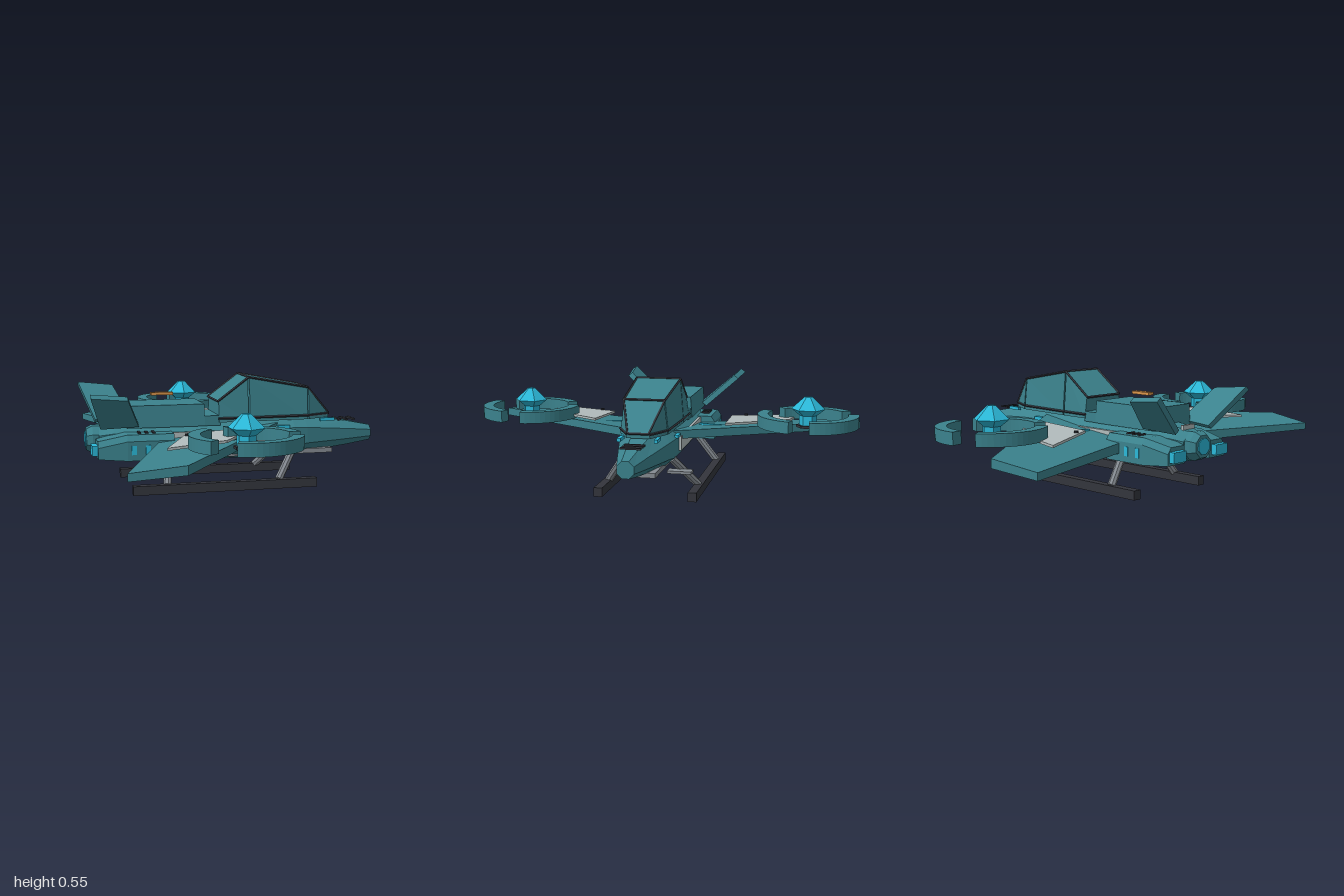
import * as THREE from 'three';

const mat = (name, color) => {
  const m = new THREE.MeshStandardMaterial({ color, flatShading: true });
  m.name = name;
  return m;
};

export function createModel() {
  const teal = mat('teal hull', 0x3b828d), cyan = mat('cyan glow', 0x2bb9d9);
  const pale = mat('pale panel', 0xb2bcbd), grey = mat('strut grey', 0x858b92);
  const dark = mat('dark trim', 0x33353c), orange = mat('orange light', 0xd9944a);

  const root = new THREE.Group();
  root.name = 'hoverCraft';
  const add = (name, geo, material, x = 0, y = 0, z = 0) => {
    const m = new THREE.Mesh(geo, material);
    m.name = name;
    m.position.set(x, y, z);
    root.add(m);
    return m;
  };
  // box given by its min and max along each axis
  const box = (name, material, [x0, x1], [y0, y1], [z0, z1]) =>
    add(name, new THREE.BoxGeometry(x1 - x0, y1 - y0, Math.abs(z1 - z0)), material,
      (x0 + x1) / 2, (y0 + y1) / 2, (z0 + z1) / 2);

  // closed solid through rings of points, always facing outwards
  const loft = (name, material, rings) => {
    const tris = [], n = rings[0].length;
    for (let i = 0; i + 1 < rings.length; i++) {
      for (let j = 0; j < n; j++) {
        const k = (j + 1) % n, a = rings[i], b = rings[i + 1];
        tris.push([a[j], a[k], b[k]], [a[j], b[k], b[j]]);
      }
    }
    const first = rings[0], last = rings[rings.length - 1];
    for (let j = 1; j + 1 < n; j++) {
      tris.push([first[0], first[j + 1], first[j]], [last[0], last[j], last[j + 1]]);
    }
    const V = p => new THREE.Vector3(...p);
    const volume = tris.reduce((s, [a, b, c]) => s + V(a).dot(V(b).cross(V(c))), 0);
    if (volume < 0) tris.forEach(t => t.reverse());
    const geo = new THREE.BufferGeometry();
    geo.setAttribute('position', new THREE.Float32BufferAttribute(tris.flat(2), 3));
    geo.computeVertexNormals();
    return add(name, geo, material);
  };
  // slab from a top outline of [x, y, z] and a thickness downwards
  const slab = (name, material, top, t) =>
    loft(name, material, [top, top.map(([x, y, z]) => [x, y - t, z])]);

  // straight rod between two points
  const rod = (name, material, a, b, r, sides = 8) => {
    const A = new THREE.Vector3(...a), B = new THREE.Vector3(...b), d = B.clone().sub(A);
    const m = add(name, new THREE.CylinderGeometry(r, r, d.length(), sides), material);
    m.position.copy(A.add(B).multiplyScalar(0.5));
    m.quaternion.setFromUnitVectors(new THREE.Vector3(0, 1, 0), d.normalize());
    return m;
  };

  // eight-sided cross-section at x
  const octagon = ([x, y0, y1, w]) => Array.from({ length: 8 }, (_, i) => {
    const a = (i + 0.5) * Math.PI / 4, k = 1 / Math.cos(Math.PI / 8);
    return [x, (y0 + y1) / 2 + Math.sin(a) * k * (y1 - y0) / 2, Math.cos(a) * k * w];
  });

  // fuselage, nose to tail
  loft('fuselage', teal, [
    [-0.69, 0.175, 0.31, 0.075], [-0.62, 0.165, 0.33, 0.1], [-0.45, 0.13, 0.35, 0.135],
    [0.3, 0.13, 0.35, 0.135], [0.37, 0.145, 0.34, 0.125], [0.62, 0.172, 0.297, 0.07],
    [0.75, 0.19, 0.27, 0.04]].map(octagon));
  loft('tailNozzle', teal, [[-0.75, 0.195, 0.3, 0.055], [-0.72, 0.18, 0.315, 0.068],
    [-0.66, 0.18, 0.315, 0.068]].map(octagon));
  loft('nozzleGlow', cyan, [[-0.754, 0.21, 0.285, 0.04], [-0.748, 0.21, 0.285, 0.04]].map(octagon));
  box('nozzleClamp', pale, [-0.66, -0.645], [0.29, 0.34], [-0.04, 0.04]);

  // raised engine housing with a floating beacon
  const housing = (x, w0, w1, y1) => [[x, 0.31, -w0], [x, y1, -w1], [x, y1, w1], [x, 0.31, w0]];
  loft('engineHousing', teal, [housing(-0.56, 0.13, 0.122, 0.42), housing(-0.17, 0.13, 0.122, 0.42)]);
  box('rearDeck', teal, [-0.18, -0.09], [0.31, 0.36], [-0.125, 0.125]);
  box('beacon', orange, [-0.42, -0.31], [0.458, 0.472], [-0.017, 0.017]);

  // canopy in three bays with narrow gaps
  const bays = [[-0.1, 0.43, 0.115, 0.13], [0.06, 0.548, 0.113, 0.13],
    [0.378, 0.488, 0.1, 0.118], [0.508, 0.348, 0.05, 0.055]];
  const section = ([x, y, t, b]) => [[x, 0.325, -b], [x, y, -t], [x, y, t], [x, 0.325, b]];
  const mix = (a, b, f) => a.map((v, i) => v + (b[i] - v) * f);
  for (let i = 0; i < 3; i++) {
    const a = bays[i], b = bays[i + 1], gap = 0.004 / (b[0] - a[0]);
    loft('canopyBay', teal, [section(mix(a, b, gap)), section(mix(a, b, 1 - gap))]);
    for (const s of [-1, 1]) {
      rod('canopyRail', dark, [a[0], a[1], s * a[2]], [b[0], b[1], s * b[2]], 0.006, 4);
      rod('canopySill', dark, [a[0], 0.345, s * a[3]], [b[0], 0.345, s * b[3]], 0.006, 4);
    }
  }
  for (const [x, y, t] of bays) rod('canopyHoop', dark, [x, y, -t], [x, y, t], 0.006, 4);

  // belly plate and nose vents
  box('bellyPlate', grey, [-0.35, 0.52], [0.142, 0.166], [-0.085, 0.085]);
  box('bellySensor', grey, [0.27, 0.33], [0.122, 0.135], [-0.22, -0.1]);
  for (const x of [0.57, 0.61, 0.65]) box('noseVent', dark, [x - 0.008, x + 0.008], [0.303, 0.311], [-0.05, 0.05]);

  for (const s of [1, -1]) {
    // swept wing, leading edge higher than trailing edge
    const tip = [[-0.675, 0.25, s * 0.96], [-0.43, 0.28, s], [-0.43, 0.238, s], [-0.675, 0.215, s * 0.96]];
    const base = [[-0.38, 0.25, s * 0.1], [0.22, 0.312, s * 0.1], [0.22, 0.27, s * 0.1], [-0.38, 0.2, s * 0.1]];
    loft('wing', teal, [base, tip]);
    slab('wingPanel', pale, [[-0.46, 0.3, s * 0.68], [-0.18, 0.318, s * 0.64],
      [0.045, 0.327, s * 0.34], [-0.3, 0.308, s * 0.325]], 0.012);
    add('panelBolt', new THREE.CylinderGeometry(0.01, 0.01, 0.01, 8), dark, -0.315, 0.312, s * 0.4);
    slab('wingLightStrip', cyan, [[-0.172, 0.285, s * 0.17], [-0.16, 0.285, s * 0.17],
      [-0.128, 0.285, s * 0.33], [-0.14, 0.285, s * 0.33]], 0.009);
    box('wingRootFairing', pale, [-0.37, 0.21], [0.212, 0.285], [s * 0.12, s * 0.148]);

    // rotor guard: three separate arcs, turned the same way on both wings
    for (const start of [5, 125, 247]) {
      const a0 = start * Math.PI / 180, a1 = a0 + 95 * Math.PI / 180;
      const shape = new THREE.Shape();
      shape.absarc(0, 0, 0.257, a0, a1, false);
      shape.absarc(0, 0, 0.203, a1, a0, true);
      const geo = new THREE.ExtrudeGeometry(shape, { depth: 0.06, bevelEnabled: false, curveSegments: 8 });
      geo.rotateX(-Math.PI / 2);
      add('rotorGuardArc', geo, teal, -0.118, 0.3, s * 0.742);
    }
    // six-sided glowing hub
    const profile = [[0, 0.3], [0.045, 0.3], [0.045, 0.355], [0.086, 0.388], [0.02, 0.45], [0, 0.45]];
    const hub = new THREE.LatheGeometry(profile.map(p => new THREE.Vector2(...p)), 6).toNonIndexed();
    hub.computeVertexNormals();
    add('rotorHub', hub, cyan, -0.118, 0, s * 0.742);
    add('hubBase', new THREE.CylinderGeometry(0.06, 0.06, 0.012, 6), dark, -0.118, 0.3, s * 0.742);

    // V-tail fin
    const fin = d => [[-0.755, 0.485 - d, s * (0.335 - d)], [-0.578, 0.468 - d, s * (0.318 - d)],
      [-0.505, 0.32 - d, s * (0.15 - d)], [-0.69, 0.31 - d, s * (0.13 - d)]];
    loft('tailFin', teal, [fin(0), fin(0).map(([x, y, z]) => [x, y + 0.018, z - s * 0.024])]);
    rod('finLightStrip', cyan, [-0.675, 0.435, s * 0.255], [-0.64, 0.385, s * 0.19], 0.005, 4);

    // side engine pod with windows, vents and exhaust
    const pod = (x, y0, y1, z0, z1) => [[x, y0, s * z0], [x, y1, s * z0], [x, y1, s * (z1 - 0.02)],
      [x, y1 - 0.03, s * z1], [x, y0, s * z1]];
    loft('enginePod', teal, [pod(-0.71, 0.175, 0.26, 0.09, 0.205), pod(-0.57, 0.165, 0.29, 0.08, 0.225),
      pod(-0.34, 0.165, 0.29, 0.08, 0.225)]);
    box('podExhaust', cyan, [-0.738, -0.705], [0.19, 0.24], [s * 0.11, s * 0.195]);
    for (const x of [-0.54, -0.47, -0.4]) box('podWindow', cyan, [x - 0.012, x + 0.012], [0.195, 0.24], [s * 0.221, s * 0.229]);
    for (const x of [-0.505, -0.47, -0.435]) box('podVent', dark, [x - 0.007, x + 0.007], [0.288, 0.297], [s * 0.135, s * 0.18]);

    // running lights
    box('noseLight', cyan, [0.45, 0.525], [0.31, 0.326], [s * 0.08, s * 0.098]);
    box('sideLight', cyan, [0.21, 0.27], [0.284, 0.3], [s * 0.125, s * 0.143]);

    // landing skid and struts
    box('skid', dark, [-0.55, 0.38], [0, 0.045], [s * 0.213, s * 0.255]);
    rod('rearStrut', grey, [-0.38, 0.04, s * 0.23], [-0.355, 0.19, s * 0.12], 0.02);
    rod('frontStrut', grey, [0.185, 0.04, s * 0.23], [0.3, 0.19, s * 0.12], 0.02);
  }
  return root;
}
